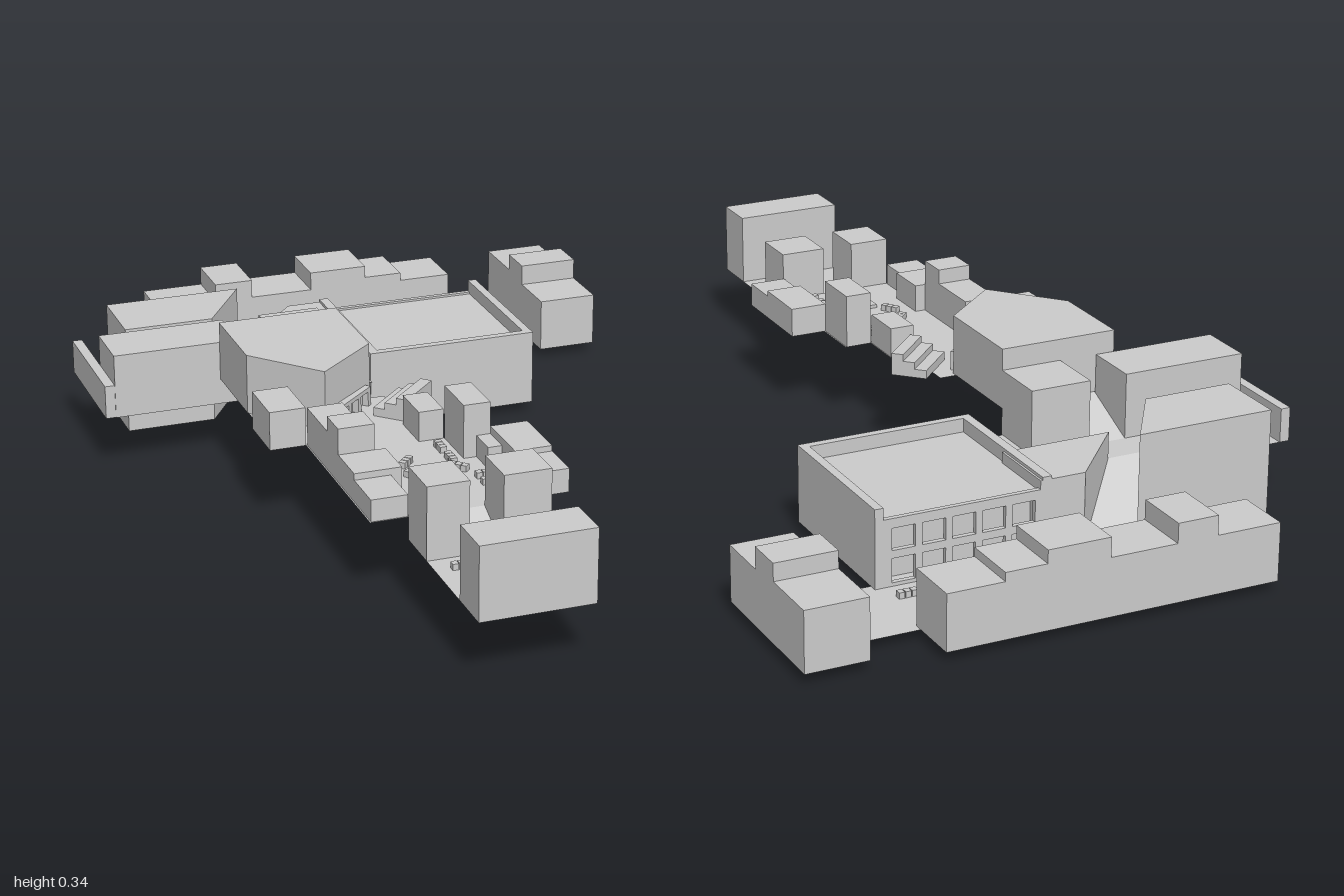
import * as THREE from 'three';

const mat = new THREE.MeshStandardMaterial({ color: 0xcccccc, side: THREE.DoubleSide, flatShading: true });

export function createModel() {
  const root = new THREE.Group();
  const add = (name, geo, parent = root) => {
    const m = new THREE.Mesh(geo, mat);
    m.name = name;
    parent.add(m);
    return m;
  };

  // Box given by its limits; open ones have no underside
  const block = (name, x0, x1, z0, z1, y0, y1, open = true, parent = root) => {
    const g = new THREE.BoxGeometry(x1 - x0, y1 - y0, z1 - z0);
    if (open) {
      const idx = Array.from(g.index.array);
      idx.splice(18, 6);
      g.setIndex(idx);
      g.clearGroups();
    }
    g.translate((x0 + x1) / 2, (y0 + y1) / 2, (z0 + z1) / 2);
    return add(name, g, parent);
  };

  const outline = pts => new THREE.Shape(pts.map(([x, z]) => new THREE.Vector2(x, -z)));
  // Upright prism and thin ground plate over a plan outline of [x, z] points
  const prism = (name, pts, y0, y1) => {
    const g = new THREE.ExtrudeGeometry(outline(pts), { depth: y1 - y0, bevelEnabled: false });
    return add(name, g.rotateX(-Math.PI / 2).translate(0, y0, 0));
  };
  const plate = (name, pts, y) =>
    add(name, new THREE.ShapeGeometry(outline(pts)).rotateX(-Math.PI / 2).translate(0, y, 0));
  const rect = (x0, x1, z0, z1) => [[x0, z0], [x0, z1], [x1, z1], [x1, z0]];

  // Sloping street between a high edge and a low edge: [xLeft, xRight, y, z]
  const ramp = (name, a, b) => {
    const g = new THREE.BufferGeometry();
    g.setAttribute('position', new THREE.Float32BufferAttribute([
      a[0], a[2], a[3], a[1], a[2], a[3], b[1], b[2], b[3], b[0], b[2], b[3]], 3));
    g.setIndex([0, 1, 2, 0, 2, 3]);
    g.computeVertexNormals();
    return add(name, g);
  };

  // Ground levels
  plate('backPlaza', rect(-0.34, 0.38, -0.865, -0.675), 0.027);
  plate('sideRoad', rect(0.38, 0.53, -0.885, -0.655), 0.027);
  plate('hallGround', rect(-0.03, 0.38, -0.675, -0.29), 0.027);
  plate('terrace', rect(-0.675, -0.03, -0.5, -0.415), 0.138);
  plate('terraceLeft', rect(-0.12, -0.03, -0.415, -0.28), 0.138);
  plate('terraceRight', rect(-0.675, -0.57, -0.585, -0.5), 0.138);
  plate('churchGround', [[-0.4, -0.275], [-0.4, 0.03], [-0.335, 0.16], [-0.335, 0.225],
    [-0.035, 0.225], [-0.035, 0.12], [-0.08, 0.12], [-0.08, -0.05], [-0.12, -0.05], [-0.12, -0.275]], 0.2);
  plate('marketGround', rect(-0.335, 0.03, 0.225, 0.59), 0.2);
  plate('frontYard', rect(-0.25, 0.005, 0.7, 1), 0.147);
  ramp('upperStreet', [-0.355, -0.265, 0.2, -0.275], [-0.355, -0.265, 0.138, -0.415]);
  ramp('lowerStreet', [-0.355, -0.265, 0.138, -0.5], [-0.24, -0.11, 0.027, -0.675]);
  ramp('gateSlope', [-0.155, -0.08, 0.147, 0.7], [-0.155, -0.08, 0.2, 0.59]);

  // Back row of houses, two of them taller
  const xs = [-0.39, -0.24, -0.145, 0.01, 0.155, 0.25, 0.38];
  const tops = [0.16, 0.205, 0.16, 0.205, 0.175, 0.155];
  tops.forEach((t, i) => block('backHouse', xs[i], xs[i + 1], -1, -0.865, 0.027, t));

  // Side houses
  [[-0.73, -0.598, 0.155], [-0.82, -0.73, 0.205], [-0.966, -0.82, 0.165]].forEach(
    ([z0, z1, t]) => block('sideHouse', 0.53, 0.672, z0, z1, 0.027, t));

  // Great hall: rimmed flat roof and windowed back
  block('hallFront', -0.03, 0.382, -0.307, -0.288, 0.027, 0.207, false);
  block('hallRight', -0.03, -0.008, -0.675, -0.307, 0.027, 0.207, false);
  block('hallLeft', 0.362, 0.382, -0.675, -0.307, 0.027, 0.207, false);
  plate('hallRoof', rect(-0.008, 0.362, -0.675, -0.307), 0.175);
  block('hallInnerWall', -0.008, 0.362, -0.63, -0.62, 0.027, 0.175, false);
  const wall = new THREE.Shape([[-0.008, 0.027], [0.362, 0.027], [0.362, 0.18], [-0.008, 0.18]]
    .map(p => new THREE.Vector2(...p)));
  for (let i = 0; i < 5; i++) {
    const x = 0.009 + i * 0.07;
    for (const [y0, y1] of [[0.035, 0.09], [0.108, 0.158]]) {
      wall.holes.push(new THREE.Path([[x, y0], [x, y1], [x + 0.054, y1], [x + 0.054, y0]]
        .map(p => new THREE.Vector2(...p))));
    }
  }
  add('hallWindowWall', new THREE.ExtrudeGeometry(wall, { depth: 0.012, bevelEnabled: false })
    .translate(0, 0, -0.675));

  // Blocks either side of the slanting street
  prism('streetBlockRight', [[-0.567, -0.675], [-0.567, -0.5], [-0.355, -0.5], [-0.24, -0.675]], 0.003, 0.262);
  prism('streetBlockLeft', [[-0.11, -0.675], [-0.265, -0.5], [-0.003, -0.5], [-0.003, -0.675]], 0.015, 0.2);
  block('terraceHouseRight', -0.652, -0.355, -0.415, -0.278, 0.138, 0.29);
  block('terraceHouseLeft', -0.265, -0.12, -0.415, -0.275, 0.13, 0.29);
  block('terraceWall', -0.675, -0.652, -0.585, -0.28, 0.138, 0.217);

  // Church with its pointed front and doorways
  prism('church', [[-0.402, -0.275], [-0.402, -0.06], [-0.268, 0.093], [-0.12, -0.035], [-0.12, -0.275]], 0.2, 0.34);
  const porch = new THREE.Group();
  porch.name = 'porch';
  porch.position.set(-0.185, 0.2, 0.032);
  porch.rotation.y = 0.74;
  for (let i = -1; i < 3; i++) block('porchPost', i * 0.045 - 0.028, i * 0.045 - 0.016, -0.02, 0.008, 0, 0.035, false, porch);
  block('porchLintel', -0.073, 0.074, -0.02, 0.008, 0.035, 0.045, false, porch);
  root.add(porch);

  // Stepped stand set at an angle
  const stand = new THREE.Group();
  stand.name = 'steppedStand';
  stand.position.set(-0.065, 0.2, 0.035);
  stand.rotation.y = Math.PI / 4;
  for (let i = 0; i < 3; i++)
    block('standStep', -0.065, 0.065, -0.042 + i * 0.028, -0.014 + i * 0.028, 0, 0.02 + i * 0.016, true, stand);
  root.add(stand);

  // Market houses: x0, x1, z0, z1, top
  [
    [-0.418, -0.335, 0.03, 0.16, 0.29], [-0.095, -0.037, 0.12, 0.225, 0.27],
    [-0.332, -0.25, 0.16, 0.3, 0.29], [-0.332, -0.25, 0.3, 0.375, 0.325],
    [-0.332, -0.225, 0.375, 0.48, 0.265], [-0.332, -0.25, 0.48, 0.587, 0.25],
    [-0.035, 0.027, 0.225, 0.345, 0.325], [0.027, 0.113, 0.345, 0.49, 0.268],
    [-0.005, 0.03, 0.345, 0.415, 0.25], [0.027, 0.113, 0.49, 0.587, 0.255],
  ].forEach(([x0, x1, z0, z1, t]) => block('marketHouse', x0, x1, z0, z1, 0.2, t));
  block('fountain', -0.153, -0.112, 0.44, 0.52, 0.2, 0.208);

  // Gate towers and the house closing the front
  block('gateTowerRight', -0.25, -0.155, 0.59, 0.7, 0.147, 0.315);
  block('gateTowerLeft', -0.08, 0.027, 0.59, 0.7, 0.147, 0.315);
  block('frontHouse', -0.25, 0.005, 0.893, 1, 0.147, 0.315);

  // Rows of three little stalls: x, z, ground height, turn
  const back = 0.027, high = 0.2, low = 0.147, q = Math.PI / 2;
  [
    [-0.275, -0.81, back, 0], [-0.205, -0.81, back, 0], [-0.023, -0.81, back, 0],
    [0.115, -0.81, back, 0], [0.188, -0.81, back, 0], [-0.275, -0.73, back, 0],
    [0.135, -0.73, back, 0], [0.272, -0.73, back, 0], [0.335, -0.73, back, 0],
    [-0.065, 0.28, high, q], [-0.065, 0.345, high, q], [-0.165, 0.335, high, 0.8],
    [-0.172, 0.405, high, -1], [-0.065, 0.395, high, -0.8],
    [-0.025, 0.45, high, 0], [-0.025, 0.485, high, 0], [-0.025, 0.518, high, 0], [-0.025, 0.553, high, 0],
    [-0.193, 0.752, low, 0], [-0.06, 0.752, low, 0],
  ].forEach(([x, z, y, turn]) => {
    const g = new THREE.Group();
    g.name = 'stallRow';
    g.position.set(x, y, z);
    g.rotation.y = turn;
    for (let i = -1; i < 2; i++)
      block('stall', i * 0.015 - 0.0065, i * 0.015 + 0.0065, -0.008, 0.008, 0, 0.014, false, g);
    root.add(g);
  });

  return root;
}
